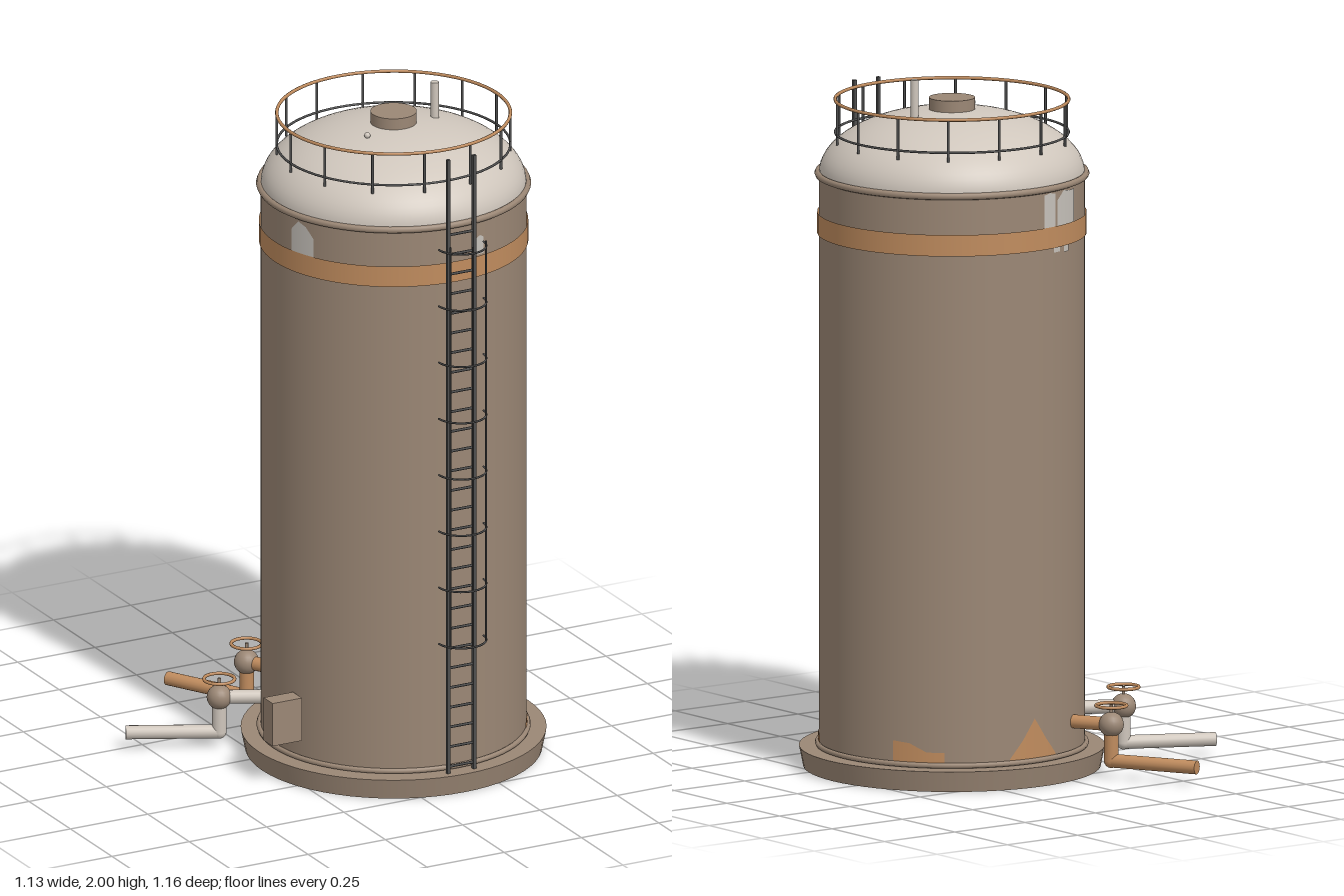
import * as THREE from 'three';

const mat = (name, color) => {
  const m = new THREE.MeshStandardMaterial({ color });
  m.name = name;
  return m;
};

export function createModel() {
  const brown = mat('tank brown', 0x9b8775);
  const cream = mat('pale paint', 0xcfc6bc);
  const copper = mat('rust orange', 0xc08c5e);
  const steel = mat('dark steel', 0x4e4e4e);
  const chip = mat('worn paint', 0xc6c1ba);
  chip.side = copper.side = THREE.DoubleSide;

  const model = new THREE.Group();
  model.name = 'storageTank';
  const tank = new THREE.Group();
  tank.name = 'tank';
  tank.position.set(0.127, 0, 0.097); // the tank axis
  model.add(tank);

  const rad = THREE.MathUtils.degToRad;
  const V = (x, y, z) => new THREE.Vector3(x, y, z);
  const add = (name, geo, material, x = 0, y = 0, z = 0, parent = tank) => {
    const mesh = new THREE.Mesh(geo, material);
    mesh.name = name;
    mesh.position.set(x, y, z);
    parent.add(mesh);
    return mesh;
  };
  // Straight round bar between two points
  const rod = (name, a, b, r, material, parent = tank, sides = 8) => {
    const mesh = add(name, new THREE.CylinderGeometry(r, r, a.distanceTo(b), sides), material, 0, 0, 0, parent);
    mesh.position.copy(a).add(b).multiplyScalar(0.5);
    mesh.quaternion.setFromUnitVectors(V(0, 1, 0), b.clone().sub(a).normalize());
    return mesh;
  };
  // Horizontal ring around the local axis
  const ring = (name, r, tube, y, material, parent = tank, segments = 72) => {
    const mesh = add(name, new THREE.TorusGeometry(r, tube, 8, segments), material, 0, y, 0, parent);
    mesh.rotation.x = Math.PI / 2;
    return mesh;
  };

  // Plinth, shell and rims
  const R = 0.379;
  add('plinth', new THREE.CylinderGeometry(0.436, 0.424, 0.06, 64), brown, 0, 0.03);
  add('shell', new THREE.CylinderGeometry(R, R, 1.66, 72, 1, true), brown, 0, 0.89);
  ring('bottomRim', 0.383, 0.008, 0.068, brown);
  ring('topRim', 0.382, 0.01, 1.717, brown);
  add('paintBand', new THREE.CylinderGeometry(0.384, 0.384, 0.062, 72, 1, true), copper, 0, 1.575);

  // Domed roof
  const profile = [];
  for (let i = 0; i <= 20; i++) {
    const t = (i / 20) * Math.PI / 2;
    profile.push(new THREE.Vector2(R * Math.cos(t), 1.718 + 0.187 * Math.sin(t)));
  }
  profile[20].x = 0;
  add('dome', new THREE.LatheGeometry(profile, 72), cream);
  add('hatch', new THREE.CylinderGeometry(0.066, 0.066, 0.045, 32), brown, 0, 1.913);
  rod('ventPipe', V(0.133, 1.88, 0), V(0.133, 2, 0), 0.012, cream, tank, 16);
  add('roofKnob', new THREE.SphereGeometry(0.009, 12, 8), cream, -0.115, 1.9, 0.056);

  // Roof railing
  const rr = 0.333;
  ring('handrail', rr, 0.005, 1.93, copper);
  ring('midRail', rr, 0.0035, 1.835, steel);
  for (let i = 0; i < 14; i++) {
    const a = (i / 14) * Math.PI * 2, x = rr * Math.cos(a), z = rr * Math.sin(a);
    rod('railPost', V(x, 1.808, z), V(x, 1.93, z), 0.004, steel);
  }

  // Ladder
  const lz = 0.407;
  for (const s of [-1, 1])
    add('ladderRail', new THREE.BoxGeometry(0.01, 1.87, 0.01), steel, s * 0.042, 0.995, lz);
  for (let i = 0; i < 28; i++) {
    const y = 0.08 + i * 0.06;
    rod('rung', V(-0.042, y, lz), V(0.042, y, lz), 0.004, steel, tank, 6);
  }
  // Safety cage
  for (let i = 0; i < 8; i++) {
    const hoop = add('cageHoop', new THREE.TorusGeometry(0.072, 0.003, 6, 24, Math.PI), steel, 0, 0.46 + i * 0.1715, lz);
    hoop.rotation.x = Math.PI / 2;
  }
  for (const a of [-53, 0, 53]) {
    const x = 0.072 * Math.sin(rad(a)), z = lz + 0.072 * Math.cos(rad(a));
    rod('cageBar', V(x, 0.46, z), V(x, 1.68, z), 0.0025, steel, tank, 6);
  }

  // Control box
  add('controlBox', new THREE.BoxGeometry(0.095, 0.13, 0.055), brown, -0.42, 0.195, 0.115);

  // Outlet pipes with valves, built along local +x
  const outlet = (dx, dz, material) => {
    const g = new THREE.Group();
    g.name = 'outlet';
    g.rotation.y = Math.atan2(-dz, dx);
    tank.add(g);
    const d = 0.497, top = 0.155, low = 0.05;
    rod('inletPipe', V(0.36, top, 0), V(d, top, 0), 0.02, material, g, 16);
    rod('downPipe', V(d, top, 0), V(d, low, 0), 0.021, material, g, 16);
    add('elbow', new THREE.SphereGeometry(0.021, 16, 12), material, d, low, 0, g);
    rod('spout', V(d, low, 0), V(0.764, low, 0), 0.02, material, g, 16);
    add('valveBody', new THREE.SphereGeometry(0.036, 20, 14), brown, d, top, 0, g);
    rod('valveStem', V(d, top, 0), V(d, 0.212, 0), 0.005, brown, g);
    ring('handWheel', 0.044, 0.005, 0.21, copper, g, 32).position.x = d;
  };
  outlet(-0.242, -0.432, copper);
  outlet(-0.447, -0.222, cream);

  // Thin curved patch between two angles (from +x towards +z); heights gives its top outline
  const patch = (name, a0, a1, y0, heights, material) => {
    const n = heights.length - 1, steps = n * 3, r = R + 0.002;
    const geo = new THREE.CylinderGeometry(r, r, 1, steps, 1, true, rad(90 - a1), rad(a1 - a0));
    const p = geo.attributes.position;
    for (let i = 0; i < p.count; i++) {
      const f = (i % (steps + 1)) / 3, k = Math.min(Math.floor(f), n - 1);
      const h = THREE.MathUtils.lerp(heights[k], heights[k + 1], f - k);
      p.setY(i, p.getY(i) > 0 ? y0 + h : y0);
    }
    add(name, geo, material);
  };
  // Rust creeping up from the base
  patch('rustPatch', 27, 38, 0.075, [0.01, 0.035, 0.035, 0.01], copper);
  patch('rustPatch', -50, -27, 0.075, [0.06, 0.055, 0.03, 0.03], copper);
  patch('rustPatch', -104, -79, 0.07, [0.01, 0.06, 0.12, 0.06, 0.01], copper);
  // Worn paint below the roof
  patch('wornPatch', 76, 80, 1.61, [0.05, 0.057, 0.05], chip);
  patch('wornPatch', 155, 168, 1.6, [0.07, 0.1, 0.09, 0.06], chip);
  patch('wornPatch', -104, -97, 1.6, [0.1, 0.105, 0.1], chip);
  patch('wornPatch', -119, -105.5, 1.6, [0.08, 0.105, 0.1, 0.1], chip);
  patch('wornPatch', -107, -103, 1.53, [0.02, 0.02], chip);
  patch('wornPatch', -114, -110, 1.525, [0.025, 0.025], chip);

  return model;
}
